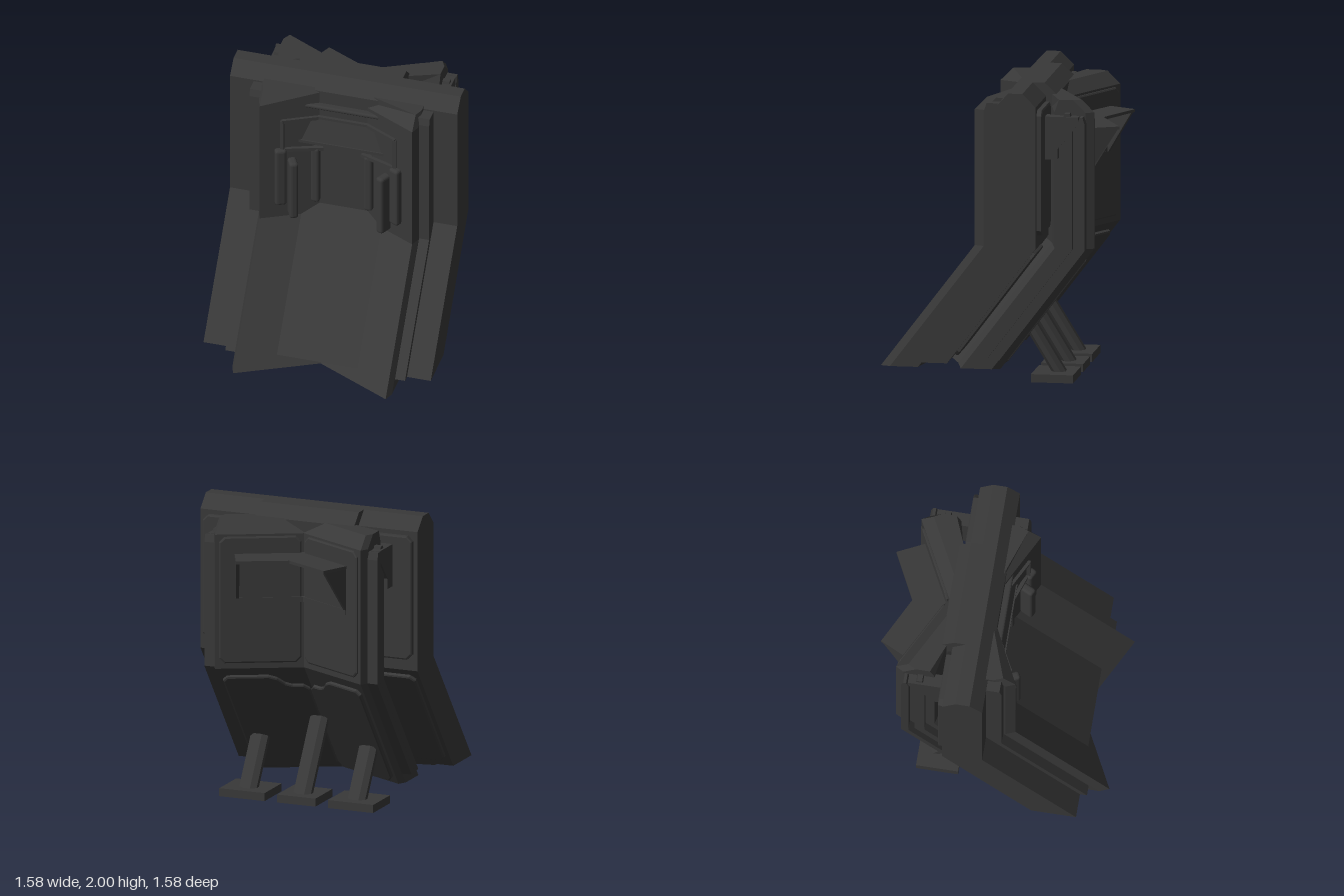
import * as THREE from 'three';
import { RoundedBoxGeometry } from 'three/addons/geometries/RoundedBoxGeometry.js';

const SLOPE = 0.76; // forward lean of everything below the bend

export function createModel() {
  const group = new THREE.Group();
  const material = new THREE.MeshStandardMaterial({ color: 0x383838, flatShading: true });

  const add = (name, geometry, x = 0, y = 0, z = 0) => {
    const mesh = new THREE.Mesh(geometry, material);
    mesh.name = name;
    mesh.position.set(x, y, z);
    group.add(mesh);
    return mesh;
  };

  // Closed plan loop from its +x half
  const mirrorHalf = half => [...half, ...half.filter(p => p[0] > 0).reverse().map(([x, z]) => [-x, z])];
  // Plan loop moved to one side, keeping its direction
  const onSide = (loop, s) => (s > 0 ? loop : loop.map(([x, z]) => [-x, z]).reverse());
  const ring = (y, loop) => loop.map(([x, z]) => [x, y, z]);

  // Solid through matching rings of [x, y, z], bottom to top, with flat caps
  function loft(rings) {
    const n = rings[0].length, index = [];
    for (let r = 0; r < rings.length - 1; r++) {
      for (let k = 0; k < n; k++) {
        const a = r * n + k, b = r * n + (k + 1) % n;
        index.push(a, b, b + n, a, b + n, a + n);
      }
    }
    const cap = (r, up) => {
      const pts = rings[r].map(p => new THREE.Vector2(p[0], -p[2]));
      for (const t of THREE.ShapeUtils.triangulateShape(pts.slice(), [])) {
        const ccw = THREE.ShapeUtils.area(t.map(i => pts[i])) > 0;
        const tri = ccw === up ? t : [t[0], t[2], t[1]];
        index.push(...tri.map(i => i + r * n));
      }
    };
    cap(0, false);
    cap(rings.length - 1, true);
    const g = new THREE.BufferGeometry();
    g.setAttribute('position', new THREE.Float32BufferAttribute(rings.flat(2), 3));
    g.setIndex(index);
    g.computeVertexNormals();
    return g;
  }

  // Upright plan that leans forward below the bend and is chamfered at the top
  function bent(loop, bottom, shoulder, top, chamfer, bend = 0.915) {
    return loft([
      loop.map(([x, z]) => [x, bottom, z + SLOPE * (bend - bottom)]),
      ring(bend, loop),
      ring(shoulder, loop),
      loop.map(([x, z]) => [x, top, z + chamfer(z)])
    ]);
  }

  // Side profile of [z, y] extruded across a width
  function across(profile, width) {
    const shape = new THREE.Shape(profile.map(([z, y]) => new THREE.Vector2(-z, y)));
    return new THREE.ExtrudeGeometry(shape, { depth: width, bevelEnabled: false })
      .translate(0, 0, -width / 2).rotateY(Math.PI / 2);
  }

  // Bevelled plate with clipped corners, laid on a plane given by origin, u and v
  function plate(name, points, origin, u, v, thick) {
    const n = points.length, corners = [];
    points.forEach((p, i) => {
      const here = new THREE.Vector2(...p);
      for (const q of [points[(i + n - 1) % n], points[(i + 1) % n]]) {
        corners.push(new THREE.Vector2(...q).sub(here).setLength(0.03).add(here));
      }
    });
    const g = new THREE.ExtrudeGeometry(new THREE.Shape(corners), {
      depth: thick, bevelSize: 0.01, bevelThickness: 0.006, bevelSegments: 1
    }).translate(0, 0, -thick / 2);
    const U = new THREE.Vector3(...u).normalize(), V = new THREE.Vector3(...v).normalize();
    const N = new THREE.Vector3().crossVectors(U, V).normalize();
    g.applyMatrix4(new THREE.Matrix4().makeBasis(U, V, N).setPosition(...origin));
    add(name, g);
  }

  // Square bar between two points
  function bar(name, p, q, t) {
    const a = new THREE.Vector3(...p), b = new THREE.Vector3(...q);
    const mesh = add(name, new THREE.BoxGeometry(t, t, a.distanceTo(b) + t / 2));
    mesh.position.copy(a).lerp(b, 0.5);
    mesh.lookAt(b);
  }

  // Wide middle slab and its raised crest
  add('middleSlab', across([[0.605, 0.155], [-0.03, 0.99], [-0.03, 1.91], [-0.115, 2], [-0.21, 2],
    [-0.3, 1.91], [-0.3, 0.95], [0.3, 0.155]], 1.58));
  add('crest', across([[-0.18, 2], [-0.29, 2], [-0.375, 1.92], [-0.375, 1.6], [-0.18, 1.6]], 0.72));

  // V-shaped front and back armour
  add('frontArmour', bent(mirrorHalf([[0, -0.115], [0.53, 0.155], [0.555, 0.09], [0.555, -0.1], [0, -0.2]]),
    0.08, 1.84, 1.925, z => (z > -0.05 ? -0.085 : 0)));
  add('backArmour', bent(mirrorHalf([[0, -0.2], [0.36, -0.34], [0.56, -0.39], [0.56, -0.6], [0.53, -0.655], [0, -0.38]]),
    0.08, 1.84, 1.925, z => (z < -0.37 ? (z === -0.39 ? -0.03 : 0.085) : 0)));

  // Roof of the rear visor hood, open underneath
  const roof = mirrorHalf([[0, -0.3], [0.38, -0.5], [0.41, -0.605], [0.32, -0.79], [0, -0.63]]);
  add('hoodRoof', loft([ring(1.69, roof), ring(1.71, roof)]));

  const vFront = x => Math.max(-0.03, -0.115 + 0.51 * x);

  for (const s of [1, -1]) {
    // Cheek and lower lip of the visor hood
    add('hoodCheek', loft([
      ring(1.38, onSide([[0.41, -0.58], [0.405, -0.595], [0.385, -0.585], [0.39, -0.57]], s)),
      ring(1.7, onSide([[0.41, -0.59], [0.32, -0.785], [0.3, -0.775], [0.39, -0.58]], s))
    ]));
    bar('hoodLip', [0, 1.39, -0.385], [s * 0.4, 1.39, -0.59], 0.035);

    // Stepped ribs along the sides, given from front to rear
    const rib = (name, x, front, rear, top) => {
      const loop = onSide([[x, front], [x, rear], [0.5, rear], [0.5, front]], s);
      add(name, bent(loop, 0.155, top - 0.05, top, z => (z === front ? -0.015 : 0.015)));
    };
    rib('frontRib', 0.625, 0.075, -0.1, 1.9);
    rib('backRib', 0.63, -0.555, -0.605, 1.82);
    rib('backRib', 0.61, -0.45, -0.515, 1.84);

    // Wedge-shaped housing between slab and ribs
    add('sideHousing', across([[-0.33, 1.82], [-0.56, 1.82], [-0.56, 1.77], [-0.42, 1.6],
      [-0.42, 1.53], [-0.33, 1.53]], 0.09), s * 0.58);

    // Raised plates on the back armour, upper and lower
    const u = [s * 0.53, 0, -0.275];
    plate('upperBackPlate', [[0.03, 0.05], [0.56, 0.05], [0.56, 0.9], [0.03, 0.9]],
      [0, 0.915, -0.38], u, [0, 1, 0], 0.02);
    plate('lowerBackPlate', [[0.02, 0.18], [0.15, 0.18], [0.23, 0.08], [0.56, 0.08], [0.56, 1], [0.02, 1]],
      [0, 0.915, -0.38], u, [0, -1, SLOPE], 0.035);

    // Raised plates on the back of the slab
    plate('upperSlabPlate', [[0.38, 1.04], [0.75, 1.04], [0.75, 1.87], [0.38, 1.87]],
      [0, 0, -0.315], [s, 0, 0], [0, 1, 0], 0.03);
    plate('lowerSlabPlate', [[0.38, 0.06], [0.75, 0.06], [0.75, 0.92], [0.38, 0.92]],
      [0, 0.95, -0.305], [s, 0, 0], [0, -0.795, 0.6], 0.03);

    // Grips and their brackets
    const outer = add('outerGrip', new RoundedBoxGeometry(0.08, 0.45, 0.06, 2, 0.02), s * 0.4, 1.255, 0.105);
    const inner = add('innerGrip', new RoundedBoxGeometry(0.06, 0.45, 0.1, 2, 0.02), s * 0.315, 1.175, 0.1);
    outer.rotation.y = inner.rotation.y = -s * 0.47;
    add('gripRail', new RoundedBoxGeometry(0.06, 0.44, 0.06, 2, 0.018), s * 0.185, 1.25, 0);
    bar('gripBracket', [s * 0.14, 1.465, 0], [s * 0.4, 1.465, 0.09], 0.025);

    // Window frame side and its sloping top
    bar('windowFrame', [s * 0.17, 1.7, -0.02], [s * 0.39, 1.7, vFront(0.39) + 0.01], 0.025);
    bar('windowFrame', [s * 0.39, 1.7, vFront(0.39) + 0.01], [s * 0.39, 1.47, vFront(0.39) + 0.01], 0.025);
  }

  // Window screen, frame top and the slim rail above it
  bar('windowFrame', [-0.17, 1.7, -0.02], [0.17, 1.7, -0.02], 0.025);
  add('windowScreen', new THREE.BoxGeometry(0.74, 0.17, 0.06), 0, 1.605, -0.02).rotation.x = -0.2;
  add('screenSill', new THREE.BoxGeometry(0.74, 0.02, 0.08), 0, 1.52, -0.005);
  add('upperRail', new RoundedBoxGeometry(0.54, 0.03, 0.08, 2, 0.014), 0, 1.8, -0.025);

  // Three rear props on flat feet
  for (const [x, width, reach] of [[-0.395, 0.33, 0.39], [0, 0.28, 0.56], [0.395, 0.33, 0.39]]) {
    add('foot', new THREE.BoxGeometry(width, 0.055, 0.285), x, 0.0275, -0.3725);
    const post = new THREE.CylinderGeometry(0.072, 0.072, reach, 8)
      .rotateY(Math.PI / 8).scale(0.95, 1, 0.62).translate(0, reach / 2, 0);
    add('prop', post, x, 0.03, -0.41).rotation.x = 0.55;
  }

  return group;
}
